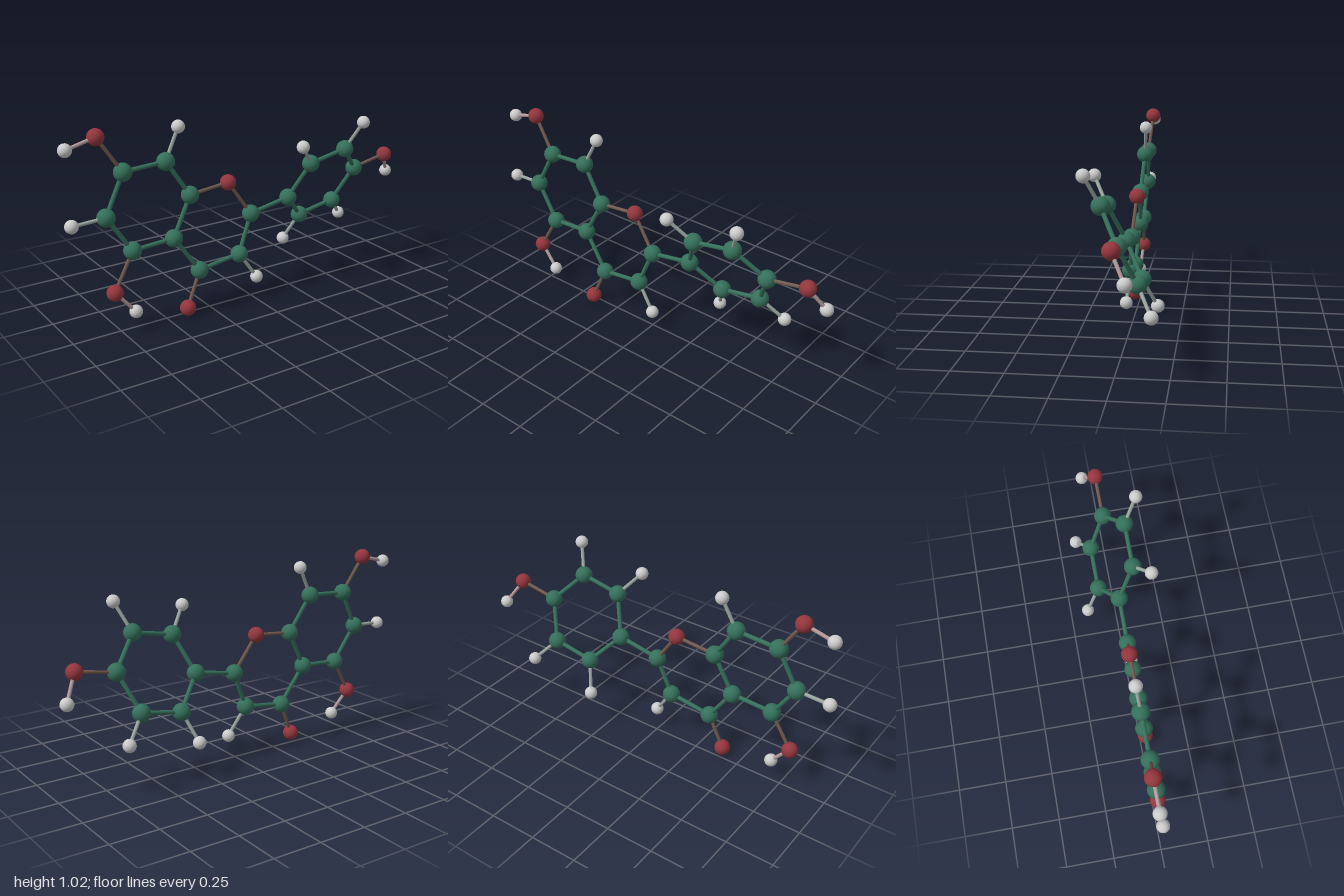
import * as THREE from 'three';

// Ball kinds: radius, stick radius and colour
const KINDS = {
  C: { name: 'carbon', radius: 0.045, stick: 0.011, color: 0x35705b },
  O: { name: 'oxygen', radius: 0.041, stick: 0.009, color: 0x94363d },
  H: { name: 'hydrogen', radius: 0.033, stick: 0.009, color: 0xcccccc },
};

// Atoms: kind, x, y, z, and the atoms listed earlier that each one bonds to
const ATOMS = {
  // fused double ring
  ringO: ['O', -0.126, 0.645, -0.01, []],
  c2: ['C', 0, 0.46, 0.004, ['ringO']],
  c3: ['C', -0.08, 0.26, 0.018, ['c2']],
  c4: ['C', -0.315, 0.227, 0.018, ['c3']],
  c4a: ['C', -0.449, 0.422, 0.006, ['c4']],
  c8a: ['C', -0.347, 0.623, -0.006, ['c4a', 'ringO']],
  c5: ['C', -0.674, 0.409, 0.007, ['c4a']],
  c6: ['C', -0.797, 0.596, -0.004, ['c5']],
  c7: ['C', -0.695, 0.797, -0.018, ['c6']],
  c8: ['C', -0.468, 0.81, -0.019, ['c7', 'c8a']],
  // outer atoms of the double ring
  ketoneO: ['O', -0.393, 0.044, 0.03, ['c4']],
  hydroxyO5: ['O', -0.781, 0.219, 0.018, ['c5']],
  hydroxyH5: ['H', -0.679, 0.1, 0.027, ['hydroxyO5']],
  hydroxyO7: ['O', -0.815, 0.98, -0.032, ['c7']],
  hydroxyH7: ['H', -0.967, 0.942, -0.03, ['hydroxyO7']],
  h3: ['H', 0.019, 0.115, 0.03, ['c3']],
  h6: ['H', -0.969, 0.588, -0.004, ['c6']],
  h8: ['H', -0.39, 0.967, -0.03, ['c8']],
  // tilted side ring
  p1: ['C', 0.233, 0.502, 0.003, ['c2']],
  p2: ['C', 0.313, 0.694, 0.088, ['p1']],
  p3: ['C', 0.535, 0.736, 0.086, ['p2']],
  p4: ['C', 0.676, 0.586, -0.005, ['p3']],
  p5: ['C', 0.596, 0.392, -0.089, ['p4']],
  p6: ['C', 0.374, 0.352, -0.087, ['p5', 'p1']],
  // outer atoms of the side ring
  hydroxyO4: ['O', 0.891, 0.625, -0.008, ['p4']],
  hydroxyH4: ['H', 0.965, 0.502, -0.073, ['hydroxyO4']],
  ph2: ['H', 0.209, 0.815, 0.161, ['p2']],
  ph3: ['H', 0.597, 0.884, 0.154, ['p3']],
  ph5: ['H', 0.703, 0.274, -0.16, ['p5']],
  ph6: ['H', 0.318, 0.203, -0.158, ['p6']],
};

const material = (color) => new THREE.MeshStandardMaterial({ color });

const position = (id) => new THREE.Vector3(...ATOMS[id].slice(1, 4));

// Stick between two atoms, in the blend of their colours
function makeBond(a, b) {
  const ka = KINDS[ATOMS[a][0]], kb = KINDS[ATOMS[b][0]];
  const start = position(a), end = position(b);
  const radius = Math.min(ka.stick, kb.stick);
  const color = new THREE.Color(ka.color).lerp(new THREE.Color(kb.color), 0.5);
  const axis = end.clone().sub(start);
  const bond = new THREE.Mesh(
    new THREE.CylinderGeometry(radius, radius, axis.length(), 16), material(color));
  bond.position.copy(start).lerp(end, 0.5);
  bond.quaternion.setFromUnitVectors(new THREE.Vector3(0, 1, 0), axis.normalize());
  bond.name = `${ka.name} to ${kb.name} bond`;
  return bond;
}

export function createModel() {
  const model = new THREE.Group();
  model.name = 'molecule';
  const atoms = new THREE.Group();
  atoms.name = 'atoms';
  const bonds = new THREE.Group();
  bonds.name = 'bonds';
  model.add(atoms, bonds);

  const shared = {};
  for (const [key, kind] of Object.entries(KINDS)) {
    shared[key] = [new THREE.SphereGeometry(kind.radius, 32, 20), material(kind.color)];
  }

  for (const [id, [kind, , , , links]] of Object.entries(ATOMS)) {
    const ball = new THREE.Mesh(...shared[kind]);
    ball.position.copy(position(id));
    ball.name = `${KINDS[kind].name} atom`;
    atoms.add(ball);
    for (const other of links) bonds.add(makeBond(other, id));
  }
  return model;
}
